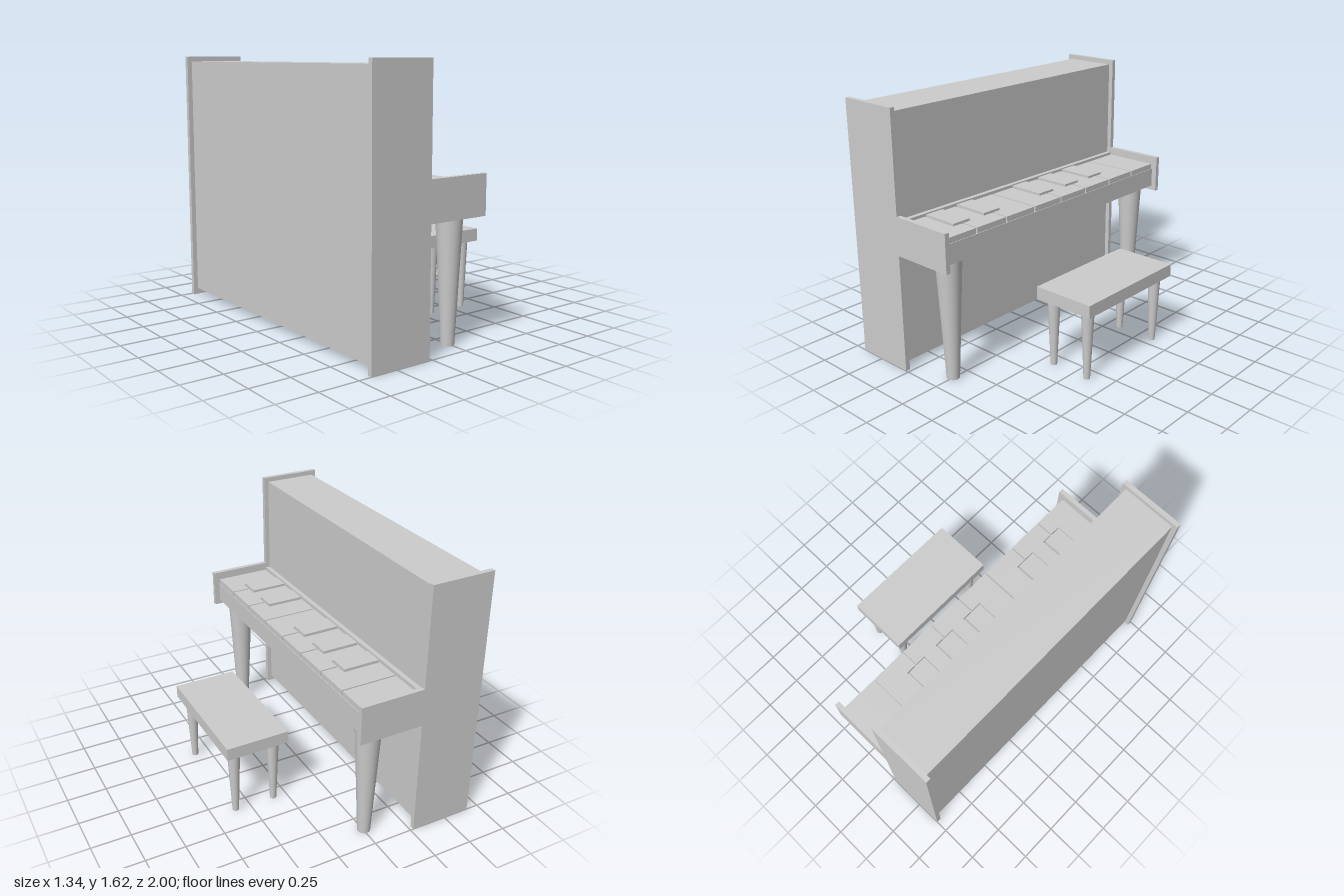
import * as THREE from 'three';

const material = new THREE.MeshStandardMaterial({ color: 0xcccccc });

function add(parent, name, geometry) {
  const mesh = new THREE.Mesh(geometry, material);
  mesh.name = name;
  parent.add(mesh);
  return mesh;
}

// Box given by its limits on each axis
function box(parent, name, [x0, x1], [y0, y1], [z0, z1]) {
  const mesh = add(parent, name, new THREE.BoxGeometry(x1 - x0, y1 - y0, z1 - z0));
  mesh.position.set((x0 + x1) / 2, (y0 + y1) / 2, (z0 + z1) / 2);
  return mesh;
}

// Round leg, tapering to half its width at the floor
function leg(parent, name, x, z, radius, height) {
  const mesh = add(parent, name, new THREE.CylinderGeometry(radius, radius / 2, height, 32));
  mesh.position.set(x, height / 2, z);
}

function createPiano() {
  const piano = new THREE.Group();
  piano.name = 'piano';

  // Side panels: tall back with an arm beside the keys
  const outline = new THREE.Shape([
    [-0.67, 0], [-0.27, 0], [-0.27, 0.75], [0.135, 0.75],
    [0.135, 0.99], [-0.27, 0.99], [-0.27, 1.62], [-0.67, 1.62],
  ].map(([x, y]) => new THREE.Vector2(x, y)));
  const panel = new THREE.ExtrudeGeometry(outline, { depth: 0.03, bevelEnabled: false });
  add(piano, 'leftSidePanel', panel).position.z = 0.97;
  add(piano, 'rightSidePanel', panel).position.z = -1;

  // Body, key bed and the strip behind the keys
  box(piano, 'cabinet', [-0.64, -0.3], [0.04, 1.59], [-0.97, 0.97]);
  box(piano, 'keyBed', [-0.3, 0.1], [0.78, 0.905], [-0.97, 0.97]);
  box(piano, 'keyStrip', [-0.3, -0.27], [0.905, 0.955], [-0.97, 0.97]);

  for (const z of [-0.857, 0.857]) leg(piano, 'pianoLeg', -0.006, z, 0.08, 0.78);
  piano.add(createKeys());
  return piano;
}

function createKeys() {
  const keys = new THREE.Group();
  keys.name = 'keyboard';
  const count = 8, pitch = 0.2425, gap = 0.005, notch = 0.073;
  const back = -0.262, step = -0.018, front = 0.096;
  const raised = [2, 3, 4, 6, 7]; // key boundaries that carry a raised key
  const edge = (i) => (i - count / 2) * pitch;

  // White keys, notched around their raised neighbours
  for (let i = 0; i < count; i++) {
    const z0 = edge(i) + gap, z1 = edge(i + 1) - gap;
    const b0 = raised.includes(i) ? edge(i) + notch : z0;
    const b1 = raised.includes(i + 1) ? edge(i + 1) - notch : z1;
    const points = [[back, b0], [step, b0], [step, z0], [front, z0],
      [front, z1], [step, z1], [step, b1], [back, b1]]
      .filter((p, k, all) => k === 0 || p[0] !== step
        || (k < 4 ? b0 !== z0 : b1 !== z1));
    const shape = new THREE.Shape(points.map(([x, z]) => new THREE.Vector2(x, -z)));
    const geometry = new THREE.ExtrudeGeometry(shape, { depth: 0.035, bevelEnabled: false });
    geometry.rotateX(-Math.PI / 2);
    add(keys, 'whiteKey', geometry).position.y = 0.905;
  }

  // Raised keys
  for (const i of raised) {
    box(keys, 'blackKey', [back, -0.026], [0.905, 0.951], [edge(i) - 0.063, edge(i) + 0.063]);
  }
  return keys;
}

function createBench() {
  const bench = new THREE.Group();
  bench.name = 'bench';
  box(bench, 'seat', [0.265, 0.668], [0.44, 0.52], [-0.398, 0.41]);
  for (const x of [0.337, 0.597]) {
    for (const z of [-0.324, 0.338]) leg(bench, 'benchLeg', x, z, 0.04, 0.44);
  }
  return bench;
}

export function createModel() {
  const model = new THREE.Group();
  model.name = 'uprightPianoWithBench';
  model.add(createPiano(), createBench());
  return model;
}
